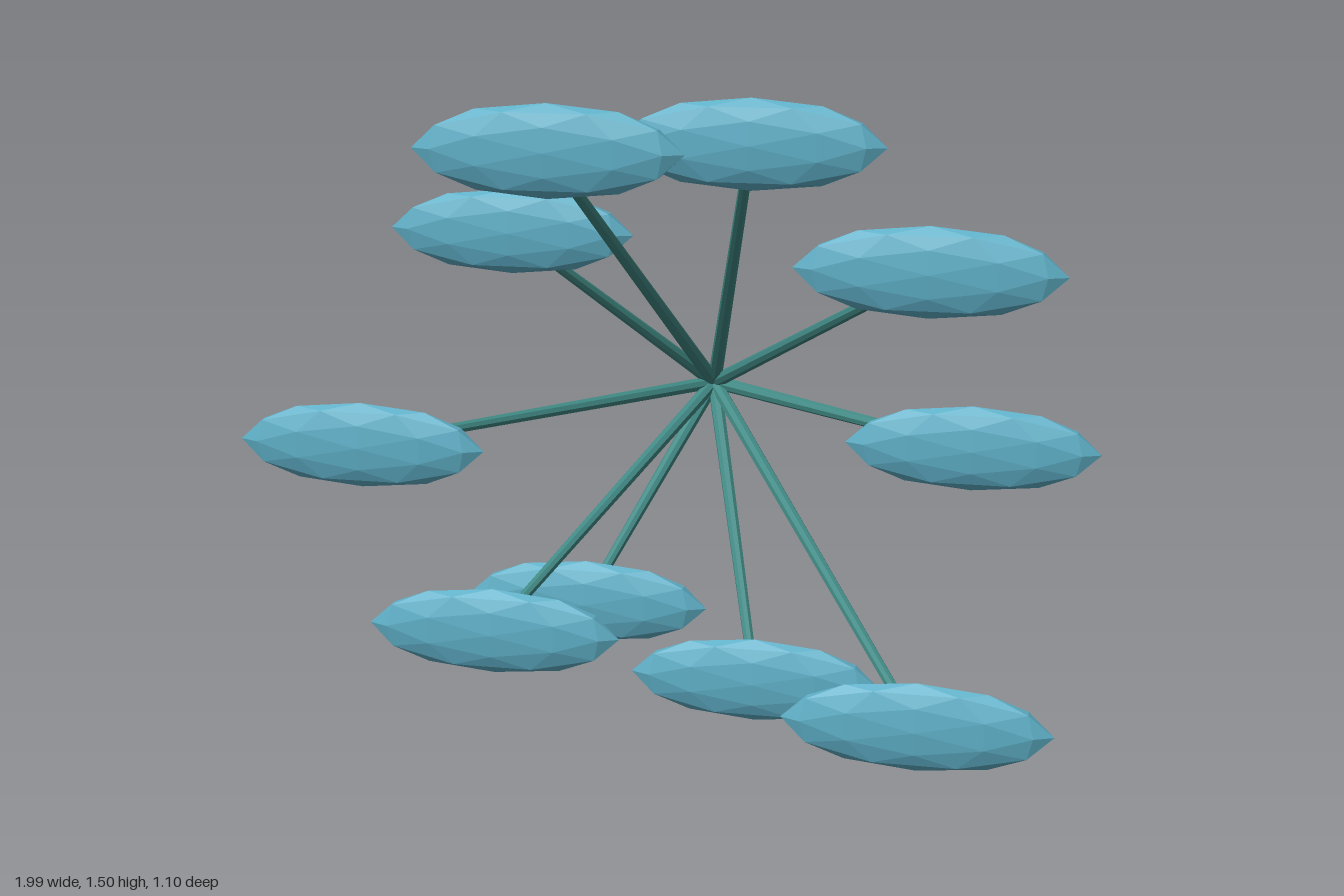
import * as THREE from 'three';

export function createModel() {
  const group = new THREE.Group();
  group.name = 'leafCluster';

  const leafBlue = new THREE.MeshStandardMaterial({ color: 0x5fb0c8, flatShading: true });
  leafBlue.name = 'leafBlue';
  const stemTeal = new THREE.MeshStandardMaterial({ color: 0x418a85, flatShading: true });
  stemTeal.name = 'stemTeal';

  // Common root of all stems
  const root = new THREE.Vector3(-0.01, 0.66, -0.54);

  // Leaf centres
  const centres = [
    [-0.17, 1.40, 0.51], [0.225, 1.395, 0.28],
    [-0.405, 1.13, -0.03], [0.62, 1.135, 0.31],
    [-0.70, 0.66, 0.24], [0.70, 0.66, -0.02],
    [-0.355, 0.265, 0.35], [-0.22, 0.23, 0.005],
    [0.215, 0.103, 0.12], [0.635, 0.17, 0.495],
  ];

  // Flat faceted ellipsoid shared by every leaf
  const leafGeometry = new THREE.IcosahedronGeometry(1, 1);
  leafGeometry.scale(0.297, 0.101, 0.038);

  const up = new THREE.Vector3(0, 1, 0);
  centres.forEach((c, i) => {
    const tip = new THREE.Vector3(...c);

    const leaf = new THREE.Mesh(leafGeometry, leafBlue);
    leaf.name = `leaf${i + 1}`;
    leaf.position.copy(tip);
    group.add(leaf);

    // Slim tapered stem from the root to the leaf centre
    const along = tip.clone().sub(root);
    const stem = new THREE.Mesh(
      new THREE.CylinderGeometry(0.012, 0.018, along.length(), 8), stemTeal);
    stem.name = `stem${i + 1}`;
    stem.position.copy(root).addScaledVector(along, 0.5);
    stem.quaternion.setFromUnitVectors(up, along.normalize());
    group.add(stem);
  });

  return group;
}
